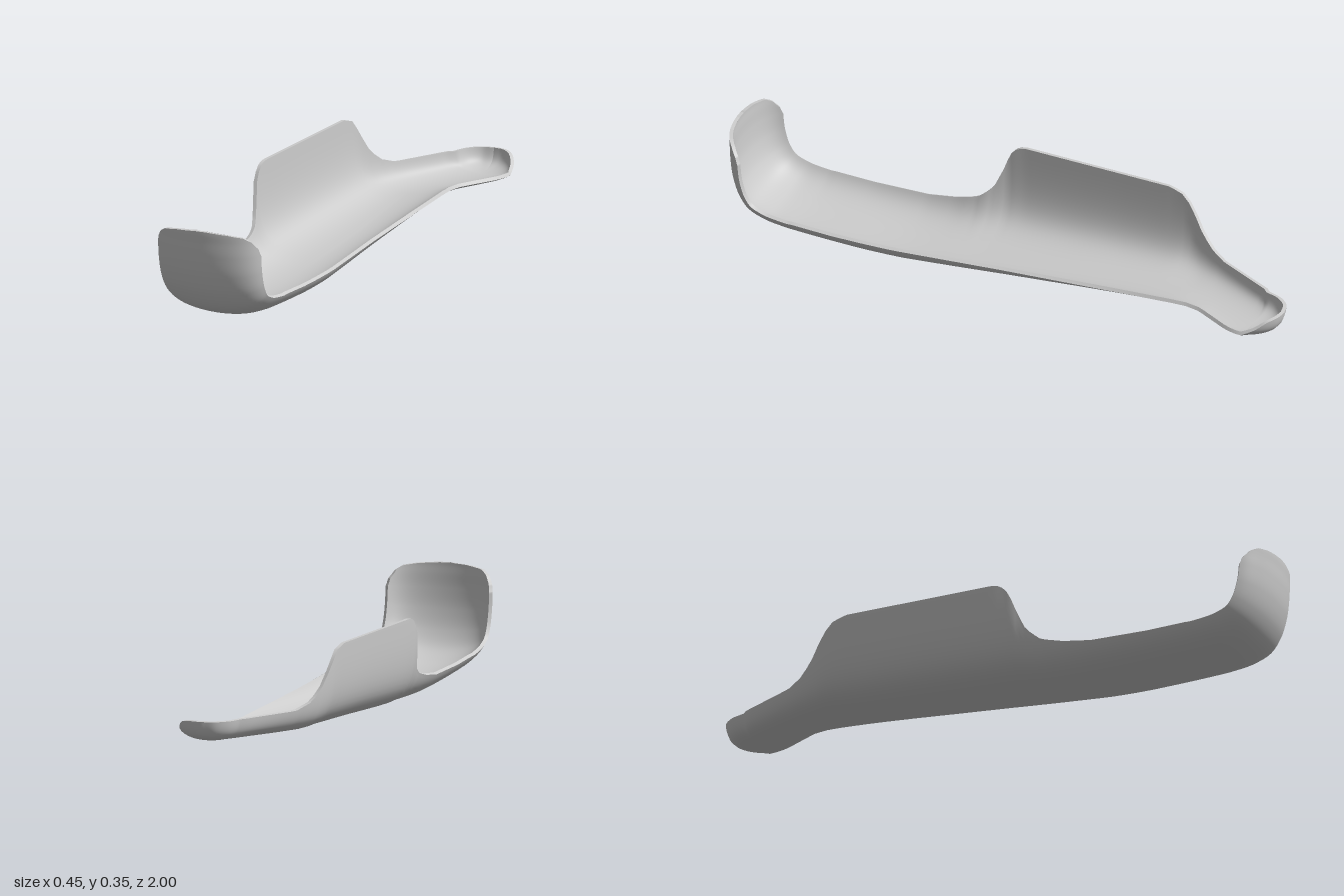
import * as THREE from 'three';

const V = (x, y, z) => new THREE.Vector3(x, y, z);

// Piecewise-linear lookup in a list of [key, value], keys descending
function lut(table, key) {
  if (key >= table[0][0]) return table[0][1];
  for (let i = 1; i < table.length; i++) {
    const [k0, v0] = table[i - 1], [k1, v1] = table[i];
    if (key >= k1) return v0 + (v1 - v0) * (key - k0) / (k1 - k0);
  }
  return table[table.length - 1][1];
}

// Keel line, from the tip of the upturned toe to the handle
const keel = new THREE.CatmullRomCurve3([
  [0.355, 1], [0.343, 1], [0.32, 0.999], [0.27, 0.997], [0.2, 0.988], [0.13, 0.965],
  [0.075, 0.925], [0.042, 0.86], [0.026, 0.78], [0.012, 0.6], [0.004, 0.4], [0.009, 0.2],
  [0.018, 0], [0.034, -0.3], [0.049, -0.6], [0.056, -0.89],
].map(([y, z]) => V(0, y, z)));

// Outline and rim heights along z
const spineX = [[-0.2, 0], [-0.6, -0.02], [-0.7, 0.02], [-0.89, 0.115]];
const leftX = [[0.25, -0.192], [0.2, -0.196], [0.16, -0.21], [0.12, -0.224], [0.06, -0.224],
  [-0.5, -0.187], [-0.56, -0.18], [-0.62, -0.152], [-0.9, 0]];
const rightX = [[0.5, 0.183], [0.35, 0.178], [0, 0.152], [-0.4, 0.13], [-0.6, 0.12],
  [-0.65, 0.12], [-0.7, 0.132], [-0.83, 0.208], [-0.87, 0.22], [-0.89, 0.222]];
const leftY = [[0.75, 0.096], [0.6, 0.088], [0.4, 0.087], [0.3, 0.1], [0.22, 0.12], [0.17, 0.16],
  [0.14, 0.22], [0.11, 0.29], [0.08, 0.32], [0.05, 0.327], [-0.48, 0.327], [-0.53, 0.31],
  [-0.56, 0.27], [-0.6, 0.2], [-0.64, 0.155], [-0.7, 0.133], [-1, 0.13]];
const rightY = [[0.75, 0.096], [0.6, 0.086], [0.4, 0.08], [-0.6, 0.076], [-0.89, 0.076]];
const toeTaper = [[0.355, 0.1], [0.35, 0.5], [0.342, 0.75], [0.325, 0.88], [0.3, 0.97], [0.27, 1]];
const steepness = [[-0.5, 4.4], [-0.89, 7]];

const HALF = 18; // columns on each side of the keel

// Half a cross-section: a bowl that steepens into a wall, from keel to rim
function halfSection(base, reach, up, height, k, taper) {
  const full = Math.tanh(k * Math.sqrt(height));
  const rEnd = Math.atanh(taper * full) / k;
  return Array.from({ length: HALF + 1 }, (_, j) => {
    const r = rEnd * j / HALF;
    return base.clone().addScaledVector(reach, Math.tanh(k * r) / full).addScaledVector(up, r * r);
  });
}

function shellSections() {
  const rows = [];
  const join = (l, r) => rows.push([...l.reverse(), ...r.slice(1)]);

  // Toe, trough and handle
  const steps = 180;
  for (let i = 0; i <= steps; i++) {
    const p = keel.getPoint(i / steps), t = keel.getTangent(i / steps);
    const up = V(0, -t.z, t.y);
    const { y, z } = p;
    const taper = y > 0.27 ? lut(toeTaper, y) : 1;
    const k = lut(steepness, z);
    p.x = lut(spineX, z);
    const side = (xs, ys) => halfSection(p, V(lut(xs, z) - p.x, 0, 0), up,
      z > 0.75 ? 0.072 : lut(ys, z) - y, k, taper);
    join(side(leftX, leftY), side(rightX, rightY));
  }

  // Rounded handle end, fanned about the last keel point
  const hub = V(0.115, 0.056, -0.89), up = V(0, 1, 0);
  const left = new THREE.CatmullRomCurve3([V(0.005, 0.13, -0.89), V(0.03, 0.13, -0.952),
    V(0.068, 0.13, -0.988), V(0.115, 0.13, -1)]);
  const right = new THREE.CatmullRomCurve3([V(0.222, 0.076, -0.89), V(0.213, 0.1, -0.935),
    V(0.19, 0.124, -0.97), V(0.155, 0.13, -0.993), V(0.115, 0.13, -1)]);
  for (let i = 1; i <= 16; i++) {
    const half = (curve) => {
      const rim = curve.getPoint(i / 16);
      return halfSection(hub, V(rim.x - hub.x, 0, rim.z - hub.z), up, rim.y - hub.y, 7, 1);
    };
    join(half(left), half(right));
  }
  return rows;
}

function gridIndex(rows, cols, flip) {
  const index = [];
  for (let i = 0; i < rows - 1; i++) for (let j = 0; j < cols - 1; j++) {
    const a = i * cols + j, b = a + cols, c = a + 1, d = b + 1;
    if (flip) index.push(a, c, b, b, c, d);
    else index.push(a, b, c, b, d, c);
  }
  return index;
}

function geometryFrom(points, index) {
  const g = new THREE.BufferGeometry().setFromPoints(points);
  g.setIndex(index);
  g.computeVertexNormals();
  return g;
}

export function createModel() {
  const group = new THREE.Group();
  group.name = 'troughShell';
  const material = new THREE.MeshStandardMaterial({ color: 0xcccccc, side: THREE.DoubleSide });
  const add = (name, geometry) => {
    const mesh = new THREE.Mesh(geometry, material);
    mesh.name = name;
    group.add(mesh);
  };

  const rows = shellSections(), n = rows.length, cols = 2 * HALF + 1;
  const outerPts = rows.flat();
  const outer = geometryFrom(outerPts, gridIndex(n, cols, false));

  // Match normals where the two sides meet at the handle tip
  const normals = outerPts.map((_, i) => V().fromBufferAttribute(outer.attributes.normal, i));
  const last = (n - 1) * cols;
  for (let j = 0; j < HALF; j++) {
    const a = normals[last + j], b = normals[last + cols - 1 - j];
    a.add(b).normalize();
    b.copy(a);
  }
  normals.forEach((v, i) => outer.attributes.normal.setXYZ(i, v.x, v.y, v.z));

  // Inner skin, offset by the wall thickness
  const innerPts = outerPts.map((p, i) => p.clone().addScaledVector(normals[i], -0.012));
  add('outerSkin', outer);
  add('innerSkin', geometryFrom(innerPts, gridIndex(n, cols, true)));

  // Rim strip joining both skins all the way round
  const loop = [];
  for (let i = n - 1; i >= 0; i--) loop.push(i * cols);
  for (let j = 1; j < cols; j++) loop.push(j);
  for (let i = 1; i < n; i++) loop.push(i * cols + cols - 1);
  const rimPts = loop.flatMap((i) => [outerPts[i], innerPts[i]]);
  add('rim', geometryFrom(rimPts, gridIndex(loop.length, 2, false)));

  return group;
}
